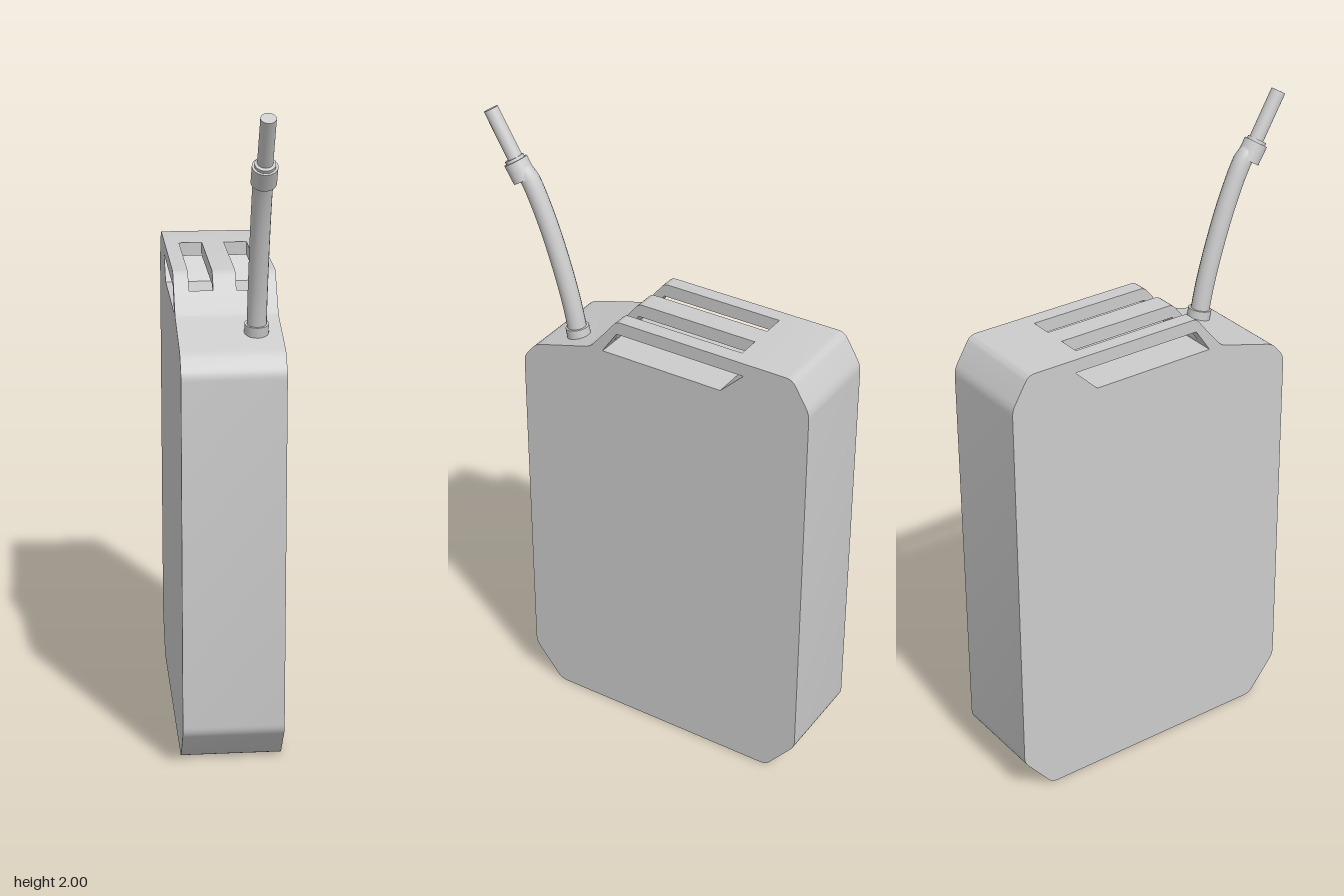
import * as THREE from 'three';
import { toCreasedNormals } from 'three/addons/utils/BufferGeometryUtils.js';

const SPOUT_X = 0.078;

// Shape from [z, y, cornerRadius] points; corners with a radius are rounded
function profile(points) {
  const shape = new THREE.Shape();
  const n = points.length;
  points.forEach(([z, y, r = 0], i) => {
    const p = new THREE.Vector2(z, y);
    const toward = ([a, b]) => new THREE.Vector2(a, b).sub(p).setLength(r).add(p);
    const a = r ? toward(points[(i + n - 1) % n]) : p;
    const b = r ? toward(points[(i + 1) % n]) : p;
    if (i === 0) shape.moveTo(a.x, a.y);
    else shape.lineTo(a.x, a.y);
    if (r) shape.quadraticCurveTo(p.x, p.y, b.x, b.y);
  });
  shape.closePath();
  return shape;
}

// Extrude a side profile across x
function slab(points, x0, x1) {
  const geometry = new THREE.ExtrudeGeometry(profile(points), {
    depth: x1 - x0, bevelEnabled: false, curveSegments: 4,
  });
  geometry.rotateY(-Math.PI / 2).translate(x1, 0, 0);
  return toCreasedNormals(geometry, 0.5);
}

export function createModel() {
  const group = new THREE.Group();
  const grey = new THREE.MeshStandardMaterial({ color: 0xcccccc });
  grey.name = 'light grey';

  const add = (name, geometry) => {
    const mesh = new THREE.Mesh(geometry, grey);
    mesh.name = name;
    group.add(mesh);
    return mesh;
  };

  // Can body with the handle recess cut across its top
  add('canBody', slab([
    [-0.47, 0, 0.02], [0.315, 0, 0.02], [0.412, 0.12, 0.02],
    [0.412, 1.235, 0.02], [0.368, 1.288, 0.02], [0.17, 1.345, 0.015],
    [0.115, 1.41], [0.115, 1.36], [0.125, 1.345],
    [-0.28, 1.345], [-0.355, 1.418], [-0.322, 1.418], [-0.322, 1.46],
    [-0.513, 1.46, 0.02], [-0.57, 1.365, 0.02], [-0.57, 0.12, 0.02],
  ], -0.153, 0.153));

  // Three handle bars bridging the recess
  const bar = [
    [-0.322, 1.418], [0.075, 1.418], [0.115, 1.36],
    [0.115, 1.41], [0.075, 1.46, 0.015], [-0.322, 1.46],
  ];
  [['rightHandleBar', -0.153, -0.108], ['middleHandleBar', -0.036, 0.033], ['leftHandleBar', 0.105, 0.153]]
    .forEach(([name, x0, x1]) => add(name, slab(bar, x0, x1)));

  // Bent spout hose
  const at = (z, y) => new THREE.Vector3(SPOUT_X, y, z);
  const hose = new THREE.CatmullRomCurve3([
    at(0.26, 1.31), at(0.283, 1.42), at(0.317, 1.54),
    at(0.362, 1.67), at(0.408, 1.775), at(0.425, 1.803), at(0.455, 1.825),
  ]);
  add('spoutHose', new THREE.TubeGeometry(hose, 24, 0.029, 16, false));

  // Straight capped pieces between two points
  const rod = (name, from, to, radius) => {
    const axis = to.clone().sub(from);
    const mesh = add(name, new THREE.CylinderGeometry(radius, radius, axis.length(), 20));
    mesh.position.copy(from).add(to).multiplyScalar(0.5);
    mesh.quaternion.setFromUnitVectors(new THREE.Vector3(0, 1, 0), axis.normalize());
  };
  rod('spoutBaseCollar', at(0.258, 1.305), at(0.266, 1.347), 0.036);
  rod('spoutCollar', at(0.438, 1.792), at(0.470, 1.843), 0.037);
  rod('spoutCollarRing', at(0.465, 1.835), at(0.475, 1.851), 0.03);
  rod('spoutNozzle', at(0.455, 1.825), at(0.551, 1.988), 0.0225);

  return group;
}
